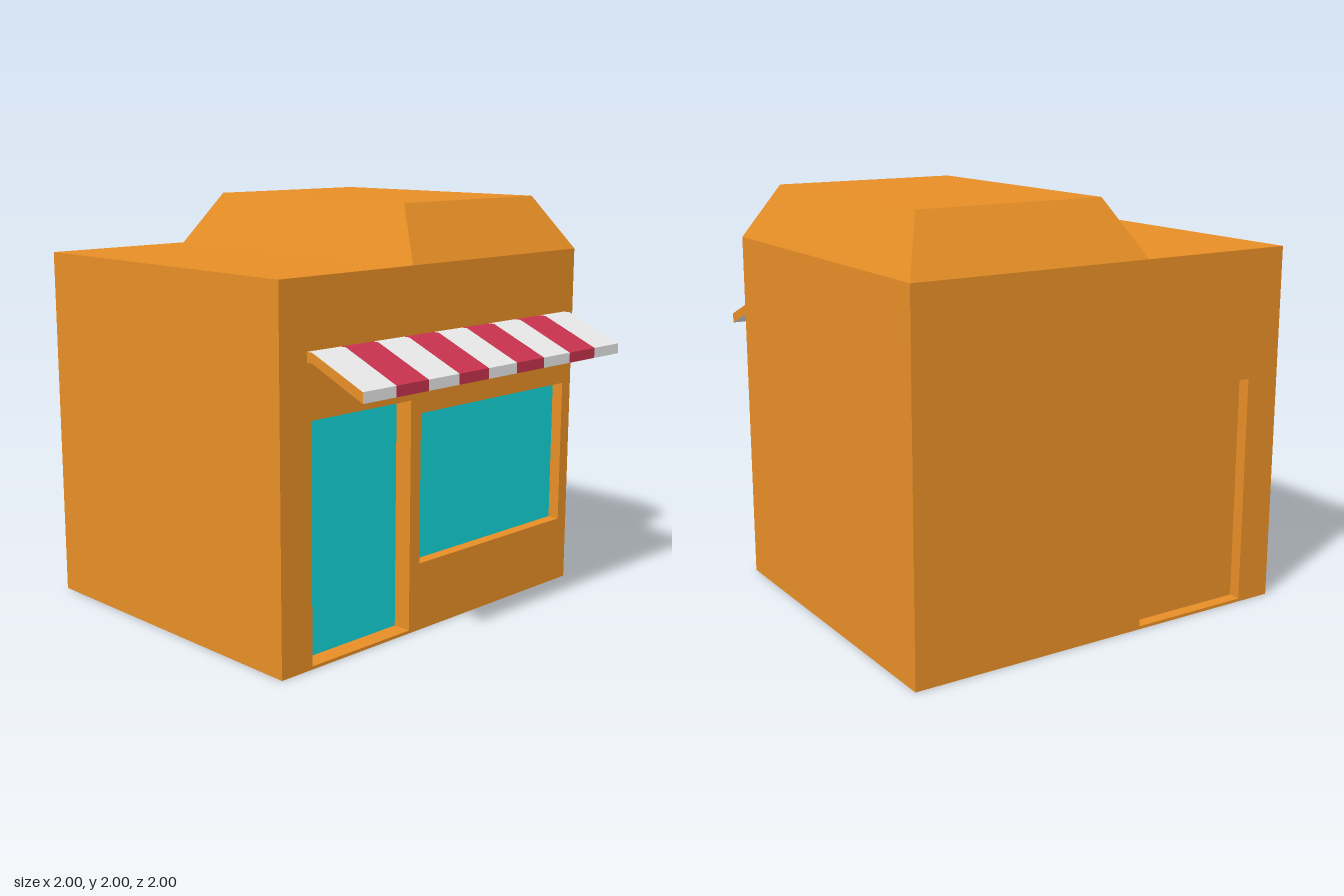
import * as THREE from 'three';

export function createModel() {
  const shop = new THREE.Group();
  shop.name = 'shop';

  const material = (name, color) => {
    const m = new THREE.MeshStandardMaterial({ color });
    m.name = name;
    return m;
  };
  const orange = material('orange wall', 0xe78e26);
  const teal = material('teal glass', 0x12d4d8);
  const white = material('white cloth', 0xe7e7e7);
  const red = material('red cloth', 0xc7324e);

  const add = (name, geometry, mat) => {
    const mesh = new THREE.Mesh(geometry, mat);
    mesh.name = name;
    shop.add(mesh);
    return mesh;
  };

  // Box given by its lower and upper corners
  const box = (name, [x0, y0, z0], [x1, y1, z1], mat) => {
    const mesh = add(name, new THREE.BoxGeometry(x1 - x0, y1 - y0, z1 - z0), mat);
    mesh.position.set((x0 + x1) / 2, (y0 + y1) / 2, (z0 + z1) / 2);
    return mesh;
  };

  // Upright wall slab with rectangular openings [x0, y0, x1, y1]
  const trace = (path, [x0, y0, x1, y1]) =>
    path.moveTo(x0, y0).lineTo(x1, y0).lineTo(x1, y1).lineTo(x0, y1).closePath();
  const wall = (name, z, depth, openings) => {
    const shape = trace(new THREE.Shape(), [-1, 0, 1, H]);
    for (const o of openings) shape.holes.push(trace(new THREE.Path(), o));
    const geometry = new THREE.ExtrudeGeometry(shape, { depth, bevelEnabled: false });
    add(name, geometry, orange).position.z = z;
  };

  const H = 1.737, FRONT = 0.667, BACK = -1;
  const door = [-0.82, 0.015, -0.2, 1.122];
  const win = [-0.133, 0.33, 0.935, 1.053];

  // Walls: solid core with a recessed front and back
  box('buildingCore', [-1, 0, BACK + 0.06], [1, H, FRONT - 0.1], orange);
  wall('frontWall', FRONT - 0.1, 0.1, [door, win]);
  wall('backWall', BACK, 0.06, [door]);

  // Glass set back in the front openings
  const pane = (name, [x0, y0, x1, y1], z) =>
    box(name, [x0, y0, z - 0.008], [x1, y1, z], teal);
  pane('frontDoor', door, FRONT - 0.092);
  pane('shopWindow', win, FRONT - 0.06);

  // Raised roof with sloping sides
  const roof = new THREE.BoxGeometry(1, 1, 1);
  const p = roof.attributes.position;
  for (let i = 0; i < p.count; i++) {
    const top = p.getY(i) > 0;
    const x = p.getX(i) > 0 ? (top ? 0.87 : 1) : (top ? -0.068 : -0.198);
    const z = p.getZ(i) > 0 ? (top ? 0.487 : FRONT) : (top ? -0.82 : BACK);
    p.setXYZ(i, x, top ? 2 : H, z);
  }
  roof.computeVertexNormals();
  add('raisedRoof', roof, orange);

  // Striped awning: one side profile, repeated per stripe
  const profile = new THREE.Shape([
    [FRONT, 1.375], [0.7, 1.375], [1, 1.248], [1, 1.297], [0.7, 1.422], [FRONT, 1.422],
  ].map(([z, y]) => new THREE.Vector2(z, y)));
  const stripes = 9, left = -0.845, width = (0.932 - left) / stripes;
  for (let i = 0; i < stripes; i++) {
    const geometry = new THREE.ExtrudeGeometry(profile, { depth: width, bevelEnabled: false });
    geometry.rotateY(-Math.PI / 2);
    const stripe = add('awningStripe' + (i + 1), geometry, [orange, i % 2 ? red : white]);
    stripe.position.x = left + (i + 1) * width;
  }

  return shop;
}
